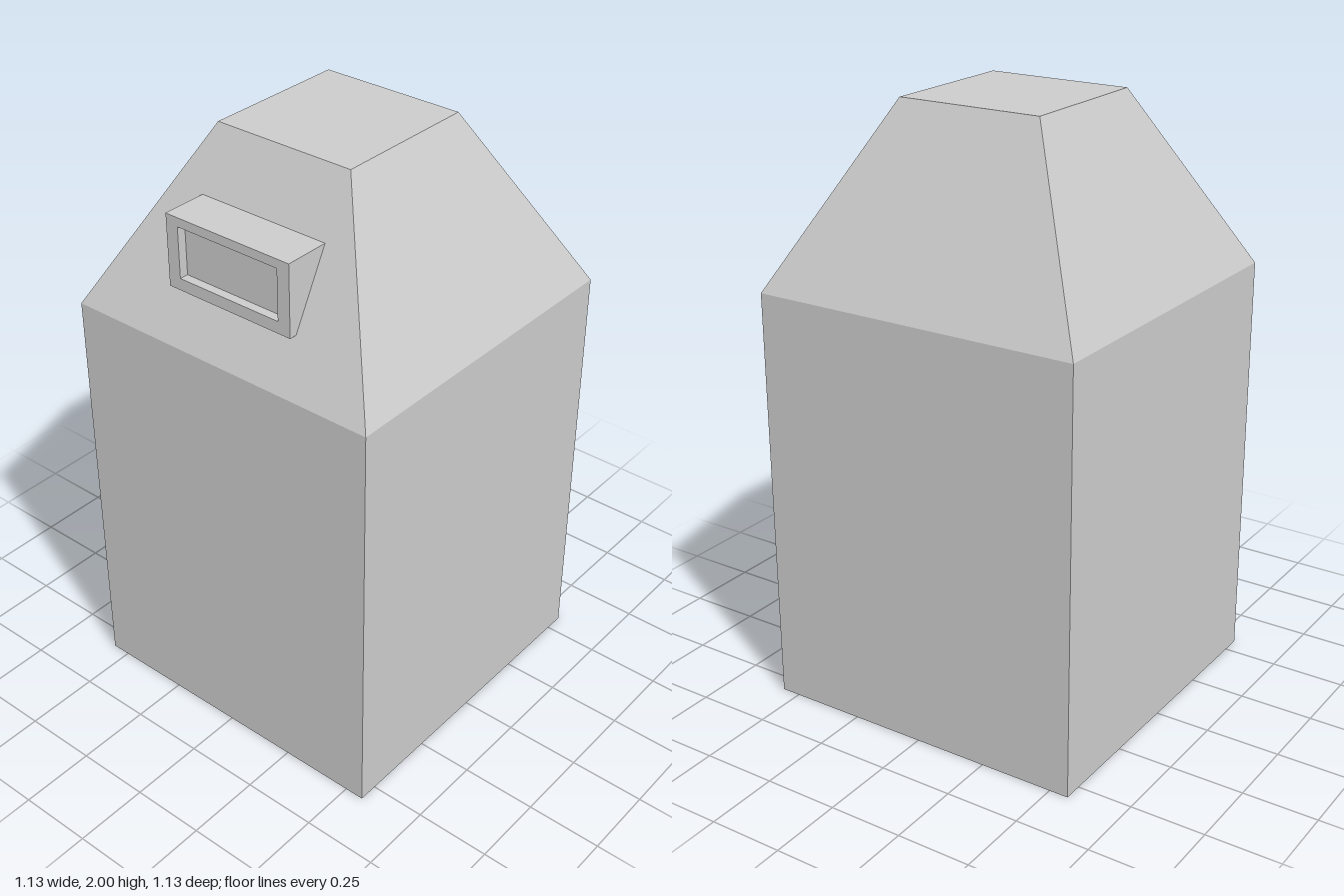
import * as THREE from 'three';

const HALF = 0.565, SHOULDER = 1.41, TOP_HALF = 0.25, HEIGHT = 2;
const material = new THREE.MeshStandardMaterial({ color: 0xcccccc, flatShading: true });

function addPart(group, name, geometry) {
  const mesh = new THREE.Mesh(geometry, material);
  mesh.name = name;
  group.add(mesh);
  return mesh;
}

// Four-sided lathe; profile points are [half width, height], bottom to top
function squareLathe(profile) {
  const points = profile.map(([w, y]) => new THREE.Vector2(w * Math.SQRT2, y));
  return new THREE.LatheGeometry(points, 4, Math.PI / 4);
}

function rectangle(path, x0, y0, x1, y1) {
  path.moveTo(x0, y0);
  path.lineTo(x1, y0);
  path.lineTo(x1, y1);
  path.lineTo(x0, y1);
  path.closePath();
  return path;
}

// Dormer on the -x roof slope
function createDormer() {
  const dormer = new THREE.Group();
  dormer.name = 'dormer';
  const z0 = -0.228, z1 = 0.242, bottom = 1.57, top = 1.81;
  const back = -0.475, depth = 0.03;
  const slope = (HALF - TOP_HALF) / (HEIGHT - SHOULDER);
  const roofX = (y) => -HALF + (y - SHOULDER) * slope;
  const roofY = (x) => SHOULDER + (x + HALF) / slope;

  // Window frame with a rectangular opening, facing -x
  const outline = rectangle(new THREE.Shape(), z0, bottom, z1, top);
  outline.holes.push(rectangle(new THREE.Path(), z0 + 0.045, bottom + 0.04, z1 - 0.045, top - 0.03));
  const frame = new THREE.ExtrudeGeometry(outline, { depth, bevelEnabled: false });
  frame.rotateY(-Math.PI / 2);
  addPart(dormer, 'windowFrame', frame).position.x = back;

  // Wedge between frame and roof; its front is the recessed pane
  const wedge = new THREE.Shape([
    new THREE.Vector2(back, roofY(back)),
    new THREE.Vector2(roofX(top), top),
    new THREE.Vector2(back, top),
  ]);
  const wedgeGeometry = new THREE.ExtrudeGeometry(wedge, { depth: z1 - z0, bevelEnabled: false });
  addPart(dormer, 'dormerBody', wedgeGeometry).position.z = z0;
  return dormer;
}

export function createModel() {
  const model = new THREE.Group();
  model.name = 'tower';
  // Floor and straight walls
  addPart(model, 'walls', squareLathe([[0, 0], [HALF, 0], [HALF, SHOULDER]]));
  // Sloping roof with a flat top
  addPart(model, 'roof', squareLathe([[HALF, SHOULDER], [TOP_HALF, HEIGHT], [0, HEIGHT]]));
  model.add(createDormer());
  return model;
}
